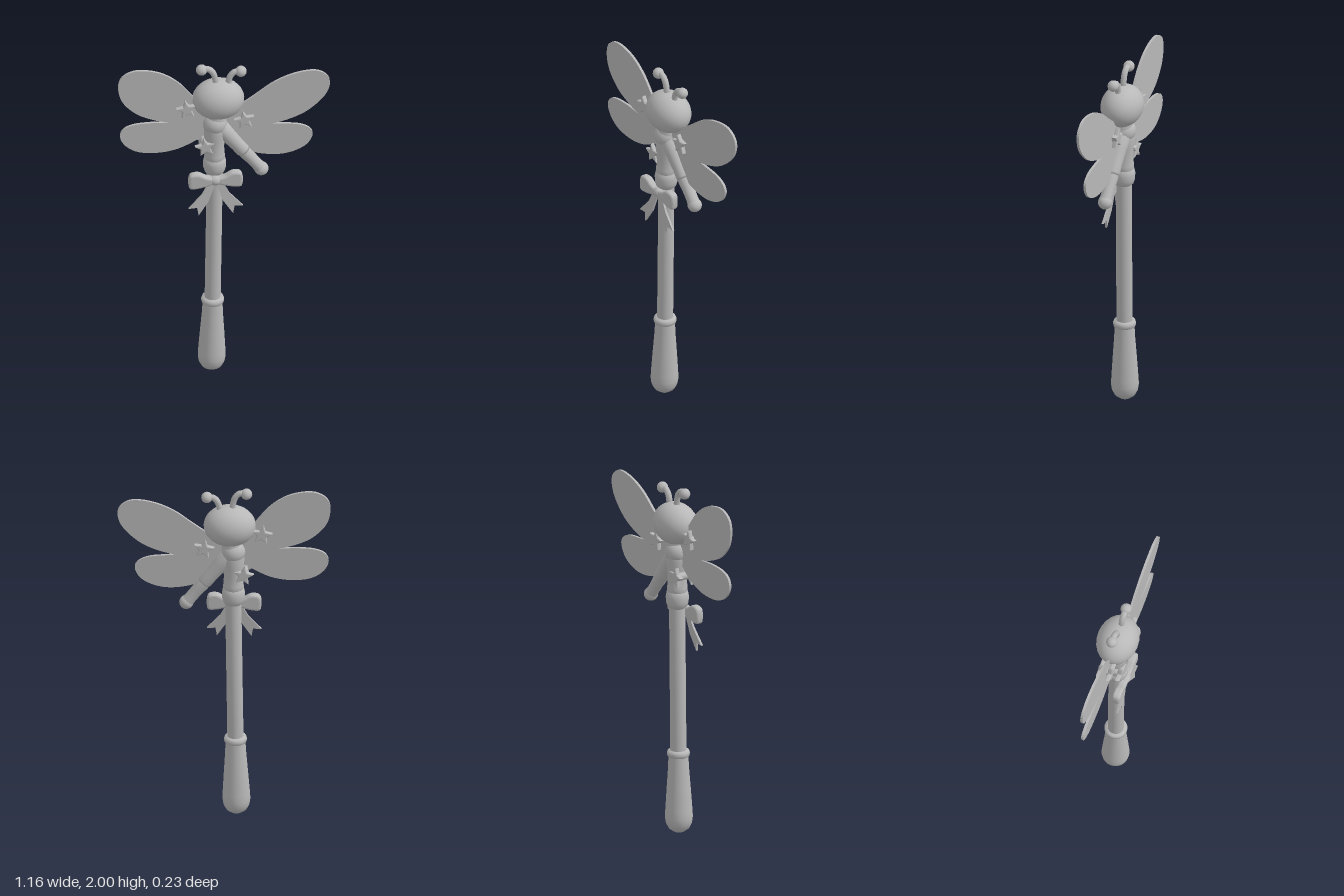
import * as THREE from 'three';

export function createModel() {
  const root = new THREE.Group();
  root.name = 'fairyWand';
  const grey = new THREE.MeshStandardMaterial({ color: 0xb8b8b8 });
  grey.name = 'plain grey';

  const add = (name, geo, x = 0, y = 0, z = 0, parent = root) => {
    const m = new THREE.Mesh(geo, grey);
    m.name = name;
    m.position.set(x, y, z);
    parent.add(m);
    return m;
  };
  const v2 = (p) => p.map(([x, y]) => new THREE.Vector2(x, y));
  const lathe = (p, n = 24) => new THREE.LatheGeometry(v2(p), n);
  const ball = (r) => new THREE.SphereGeometry(r, 18, 14);
  const smoothShape = (p) => new THREE.Shape(new THREE.SplineCurve(v2(p)).getPoints(70));
  const slab = (shape, depth, bevel) => {
    const g = new THREE.ExtrudeGeometry(shape, {
      depth: depth - 2 * bevel, bevelEnabled: bevel > 0, bevelThickness: bevel,
      bevelSize: bevel, bevelOffset: -bevel, bevelSegments: 3,
    });
    return g.translate(0, 0, -(depth - 2 * bevel) / 2);
  };

  // Slightly leaning stick: grip, collar and shaft
  const stick = new THREE.Group();
  stick.name = 'stick';
  stick.position.x = -0.071;
  stick.rotation.z = -0.014;
  root.add(stick);
  add('grip', lathe([[0, 0.002], [0.03, 0.008], [0.056, 0.027], [0.071, 0.056], [0.076, 0.09],
    [0.074, 0.13], [0.066, 0.25], [0.058, 0.36], [0.054, 0.44]]), 0, 0, 0, stick);
  add('gripCollar', lathe([[0.05, 0.435], [0.06, 0.442], [0.063, 0.457], [0.058, 0.472], [0.04, 0.477]]), 0, 0, 0, stick);
  add('shaft', new THREE.CylinderGeometry(0.044, 0.044, 0.87, 24), 0, 0.895, 0, stick);

  // Body
  add('waistBand', lathe([[0.04, 1.29], [0.055, 1.305], [0.062, 1.33], [0.063, 1.36], [0.058, 1.385], [0.045, 1.398]]), -0.054);
  add('torso', lathe([[0.05, 1.38], [0.057, 1.395], [0.055, 1.415], [0.052, 1.46], [0.056, 1.52],
    [0.061, 1.57], [0.056, 1.62], [0.04, 1.66]]), -0.054);
  add('shoulders', ball(0.067), -0.053, 1.615, 0);
  add('neck', new THREE.CylinderGeometry(0.05, 0.055, 0.06, 18), -0.045, 1.665, 0);

  // Arm reaching down to the model's left
  const arm = new THREE.Group();
  arm.name = 'arm';
  arm.position.set(-0.03, 1.595, 0);
  arm.rotation.z = Math.atan2(0.23, 0.3);
  root.add(arm);
  add('sleeve', lathe([[0, -0.225], [0.036, -0.225], [0.041, -0.21], [0.04, -0.17],
    [0.045, -0.08], [0.051, 0], [0.03, 0.045], [0, 0.05]], 18), 0, 0, 0, arm);
  add('forearm', lathe([[0.036, -0.375], [0.033, -0.34], [0.034, -0.28], [0.038, -0.24], [0.036, -0.215]], 18), 0, 0, 0, arm);
  add('hand', ball(0.039), 0, -0.38, 0, arm);

  // Head
  add('head', new THREE.SphereGeometry(1, 24, 18), -0.034, 1.773, 0).scale.set(0.142, 0.116, 0.114);

  // Curled antennae
  const antennae = [
    [[-0.048, 1.86], [-0.052, 1.91], [-0.066, 1.95], [-0.092, 1.972], [-0.125, 1.968]],
    [[0.022, 1.85], [0.024, 1.89], [0.036, 1.922], [0.058, 1.942], [0.09, 1.942]],
  ];
  antennae.forEach((p) => {
    const path = new THREE.CatmullRomCurve3(p.map(([x, y]) => new THREE.Vector3(x, y, 0)));
    add('antenna', new THREE.TubeGeometry(path, 20, 0.017, 10));
    const [x, y] = p[p.length - 1];
    add('antennaTip', ball(0.031), x, y, 0);
  });

  // Thin wings
  const wings = {
    rightUpperWing: [[-0.05, 1.60], [-0.11, 1.71], [-0.18, 1.81], [-0.26, 1.905], [-0.36, 1.97], [-0.48, 1.992],
      [-0.56, 1.955], [-0.58, 1.88], [-0.555, 1.79], [-0.48, 1.71], [-0.39, 1.665], [-0.29, 1.635], [-0.15, 1.59], [-0.05, 1.56]],
    rightLowerWing: [[-0.05, 1.62], [-0.18, 1.63], [-0.3, 1.638], [-0.39, 1.645], [-0.49, 1.64], [-0.55, 1.615],
      [-0.57, 1.565], [-0.54, 1.505], [-0.47, 1.46], [-0.365, 1.447], [-0.26, 1.463], [-0.16, 1.51], [-0.1, 1.555], [-0.05, 1.56]],
    leftUpperWing: [[-0.03, 1.62], [0.03, 1.69], [0.1, 1.735], [0.17, 1.785], [0.27, 1.858], [0.38, 1.905], [0.49, 1.918],
      [0.555, 1.885], [0.575, 1.83], [0.55, 1.755], [0.48, 1.68], [0.4, 1.63], [0.28, 1.592], [0.1, 1.57], [-0.03, 1.56]],
    leftLowerWing: [[-0.03, 1.62], [0.1, 1.61], [0.27, 1.587], [0.4, 1.572], [0.465, 1.54], [0.48, 1.495], [0.445, 1.435],
      [0.37, 1.396], [0.28, 1.385], [0.17, 1.405], [0.08, 1.455], [0.02, 1.53], [-0.03, 1.57]],
  };
  Object.entries(wings).forEach(([name, p]) => add(name, slab(smoothShape(p), 0.014, 0)));

  // Puffy stars on both faces of the wings
  const starPts = [];
  for (let i = 0; i < 10; i++) {
    const a = Math.PI / 2 + i * Math.PI / 5 + 0.15;
    const r = i % 2 ? 0.028 : 0.058;
    starPts.push([r * Math.cos(a), r * Math.sin(a)]);
  }
  const starGeo = slab(new THREE.Shape(v2(starPts)), 0.026, 0.007);
  [[-0.21, 1.735], [0.105, 1.64], [-0.11, 1.49]].forEach(([x, y], i) => {
    for (const s of [1, -1]) {
      const z = s * (i === 2 ? 0.045 : 0.028);
      add('star', starGeo, x, y, z);
      add('starBacking', new THREE.CylinderGeometry(0.022, 0.022, Math.abs(z), 12).rotateX(Math.PI / 2), x, y, z / 2);
    }
  });

  // Ribbon bow on the front: knot, two loops and two notched tails
  const bow = new THREE.Group();
  bow.name = 'bow';
  bow.position.set(-0.055, 1.272, 0.05);
  root.add(bow);
  add('knot', ball(1), 0, 0, 0.002, bow).scale.set(0.036, 0.029, 0.028);
  const loop = [[0.01, 0.02], [0.05, 0.03], [0.09, 0.052], [0.13, 0.05], [0.146, 0.03], [0.148, -0.015],
    [0.138, -0.042], [0.1, -0.043], [0.05, -0.032], [0.01, -0.02]];
  const tail = [[0.002, -0.02], [0.045, -0.025], [0.075, -0.085], [0.148, -0.168], [0.102, -0.165],
    [0.094, -0.214], [0.04, -0.13]];
  for (const s of [1, -1]) {
    const side = (p) => p.map(([x, y]) => [s * x, y]);
    add('bowLoop', slab(smoothShape(side(loop)), 0.046, 0.014), 0, 0, 0, bow);
    const t = add('bowTail', slab(new THREE.Shape(v2(side(tail))), 0.012, 0), 0, 0, 0.002, bow);
    t.rotation.x = -0.06;
  }
  return root;
}
